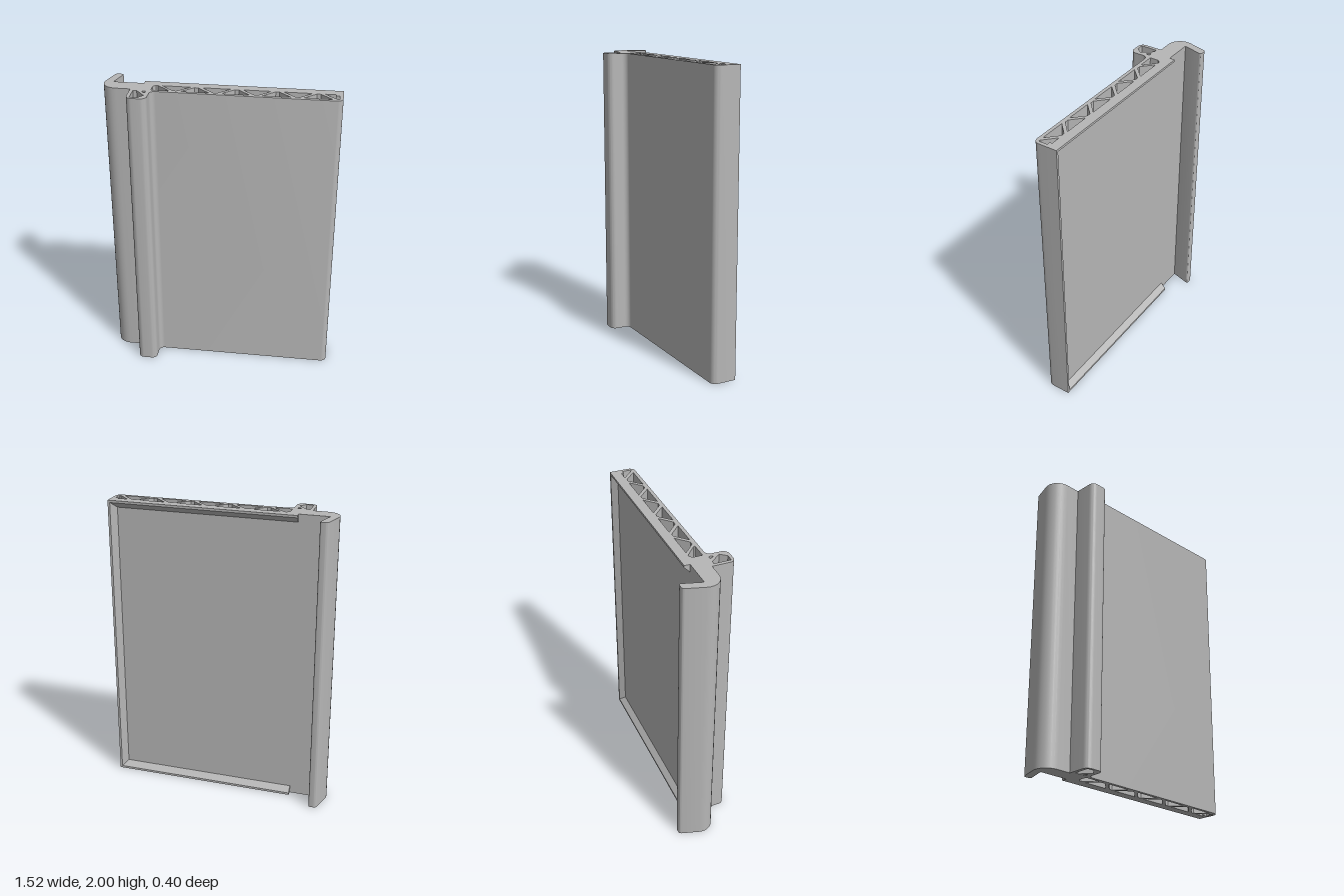
import * as THREE from 'three';
import { toCreasedNormals } from 'three/addons/utils/BufferGeometryUtils.js';

const HEIGHT = 2;
const FLOOR = -0.063; // z of the recessed back face
const RIM = -0.1;     // z of the raised rim

export function createModel() {
  const group = new THREE.Group();
  const grey = new THREE.MeshStandardMaterial({ color: 0xb6b6b6 });
  grey.name = 'plain grey';

  const add = (name, geometry) => {
    const mesh = new THREE.Mesh(toCreasedNormals(geometry, 0.5), grey);
    mesh.name = name;
    group.add(mesh);
    return mesh;
  };

  const polygon = (points, Type = THREE.Shape) =>
    new Type(points.map(([a, b]) => new THREE.Vector2(a, b)));

  // Extrudes a plan outline, drawn with -z as its second axis, upwards
  const extrudeUp = (shape) =>
    new THREE.ExtrudeGeometry(shape, { depth: HEIGHT, bevelEnabled: false, curveSegments: 8 })
      .rotateX(-Math.PI / 2);

  // Outline of the panel with its hooked flange and the hollow rib
  const body = new THREE.Shape();
  const line = (x, z) => body.lineTo(x, -z);
  const bend = (cx, cz, x, z) => body.quadraticCurveTo(cx, -cz, x, -z);
  const round = (ax, az, bx, bz, x, z) => body.bezierCurveTo(ax, -az, bx, -bz, x, -z);
  body.moveTo(0.76, -FLOOR);
  line(-0.708, FLOOR);
  line(-0.672, -0.188);
  bend(-0.669, -0.204, -0.686, -0.204);
  line(-0.708, -0.204);
  bend(-0.721, -0.204, -0.727, -0.19);
  line(-0.761, -0.07);
  round(-0.777, -0.012, -0.735, 0.045, -0.67, 0.045);
  line(-0.575, 0.045);
  line(-0.575, 0.16);
  round(-0.575, 0.181, -0.558, 0.198, -0.537, 0.198);
  line(-0.483, 0.198);
  round(-0.462, 0.198, -0.445, 0.181, -0.445, 0.16);
  line(-0.445, 0.102);
  round(-0.445, 0.083, -0.429, 0.067, -0.41, 0.067);
  line(0.72, 0.067);
  round(0.742, 0.067, 0.76, 0.049, 0.76, 0.027);
  line(0.76, FLOOR);

  // Through-holes: two in the rib, then the truss between the panel skins
  const hole = (points) =>
    body.holes.push(polygon(points.map(([x, z]) => [x, -z]), THREE.Path));
  hole([[-0.552, 0.067], [-0.528, 0.067], [-0.47, 0.137], [-0.504, 0.178], [-0.552, 0.178]]);
  hole([[-0.492, 0.07], [-0.471, 0.07], [-0.471, 0.094], [-0.48, 0.094], [-0.492, 0.078]]);

  const top = -0.035, bottom = 0.044, half = 0.09, tip = 0.012, pitch = 0.257;
  hole([[-0.443, bottom], [-0.443, -0.016], [-0.426, top], [-0.412, top],
    [-0.334, 0.035], [-0.334, bottom]]);
  for (let i = 0; i < 4; i++) {
    const down = -0.293 + i * pitch;
    const up = down + pitch / 2;
    hole([[down - half, top], [down + half, top], [down + tip, 0.037], [down - tip, 0.037]]);
    hole([[up - half, bottom], [up + half, bottom], [up + tip, -0.03], [up - tip, -0.03]]);
  }
  hole([[0.645, top], [0.713, top], [0.713, -0.018], [0.737, -0.018], [0.737, 0.041], [0.727, 0.041]]);
  add('panelBody', extrudeUp(body));

  // Raised side rim with a sloping inner face
  add('sideRim', extrudeUp(polygon(
    [[0.76, -FLOOR], [0.76, -RIM], [0.745, -RIM], [0.708, -FLOOR]])));

  // Matching rims along the lower and upper ends
  const start = -0.508;
  for (const [name, y0, dir] of [['lowerRim', 0, 1], ['upperRim', HEIGHT, -1]]) {
    const section = polygon([[-FLOOR, y0], [-RIM, y0],
      [-RIM, y0 + dir * 0.015], [-FLOOR, y0 + dir * 0.052]]);
    const geometry = new THREE.ExtrudeGeometry(section, { depth: 0.76 - start, bevelEnabled: false });
    add(name, geometry.rotateY(Math.PI / 2).translate(start, 0, 0));
  }
  return group;
}
